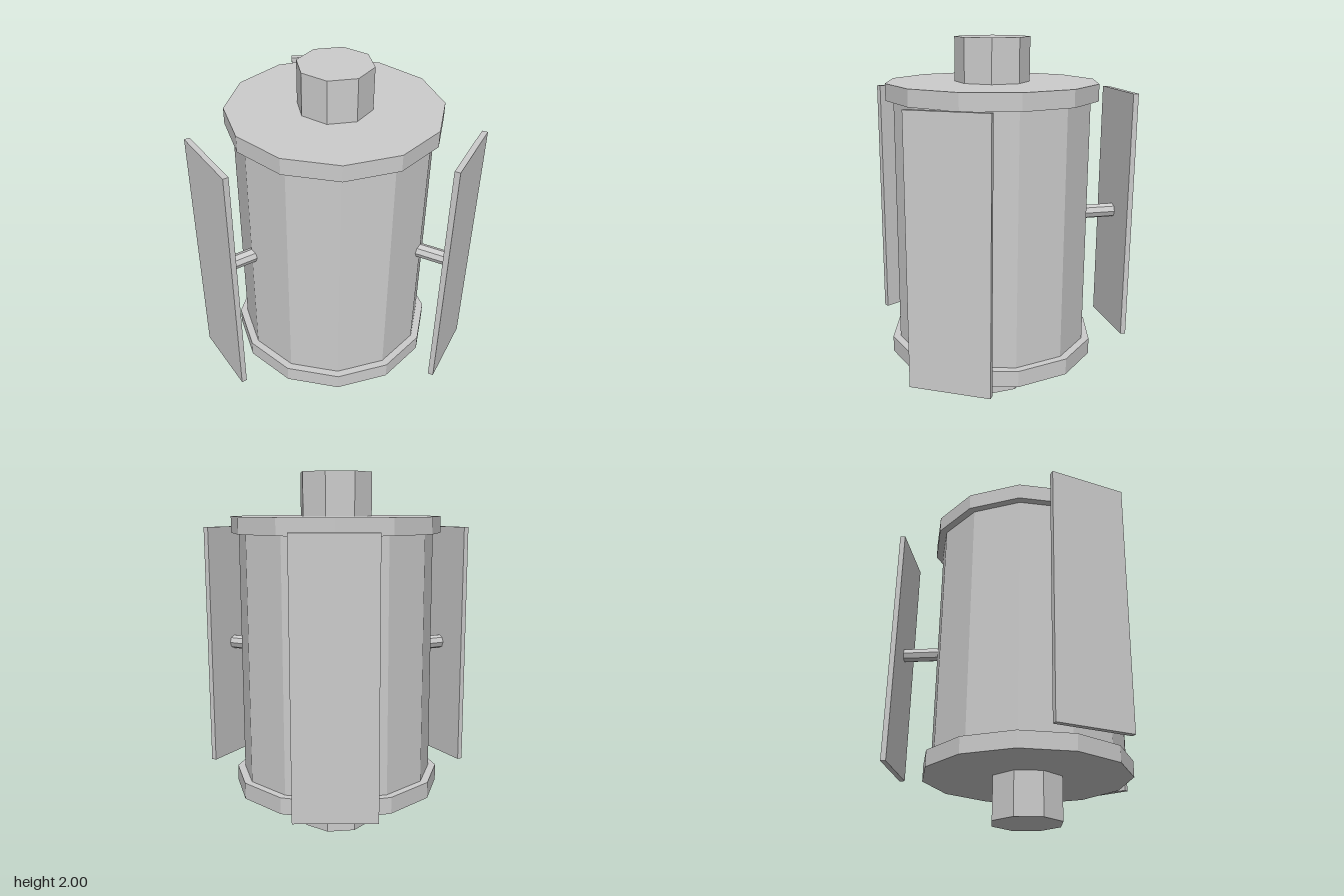
import * as THREE from 'three';

const material = new THREE.MeshStandardMaterial({ color: 0xcccccc, flatShading: true });

function addMesh(parent, name, geometry, x, y, z = 0) {
  const mesh = new THREE.Mesh(geometry, material);
  mesh.name = name;
  mesh.position.set(x, y, z);
  parent.add(mesh);
  return mesh;
}

export function createModel() {
  const model = new THREE.Group();
  model.name = 'drumWithPanels';

  // Everything is arranged around an off-centre vertical axis
  const core = new THREE.Group();
  core.name = 'core';
  core.position.x = 0.09;
  model.add(core);

  // Main drum
  addMesh(core, 'drum', new THREE.CylinderGeometry(0.535, 0.535, 1.36, 12), 0, 1.005);

  // Rims and hub stubs at both ends
  for (const [end, rimY, hubY] of [['lower', 0.285, 0.13], ['upper', 1.72, 1.87]]) {
    addMesh(core, end + 'Rim', new THREE.CylinderGeometry(0.577, 0.577, 0.09, 12), 0, rimY);
    addMesh(core, end + 'Hub', new THREE.CylinderGeometry(0.202, 0.202, 0.26, 8), 0, hubY);
  }

  // Three flat panels, each held off the drum by a rod
  for (let i = 0; i < 3; i++) {
    const arm = new THREE.Group();
    arm.name = 'panelArm' + (i + 1);
    arm.rotation.y = Math.PI + (i * Math.PI * 2) / 3;
    core.add(arm);

    const rod = addMesh(arm, 'rod', new THREE.CylinderGeometry(0.04, 0.04, 0.25, 8), 0.61, 1);
    rod.rotation.z = Math.PI / 2;
    addMesh(arm, 'panel', new THREE.BoxGeometry(0.03, 1.4, 0.425), 0.745, 1);
  }

  return model;
}
